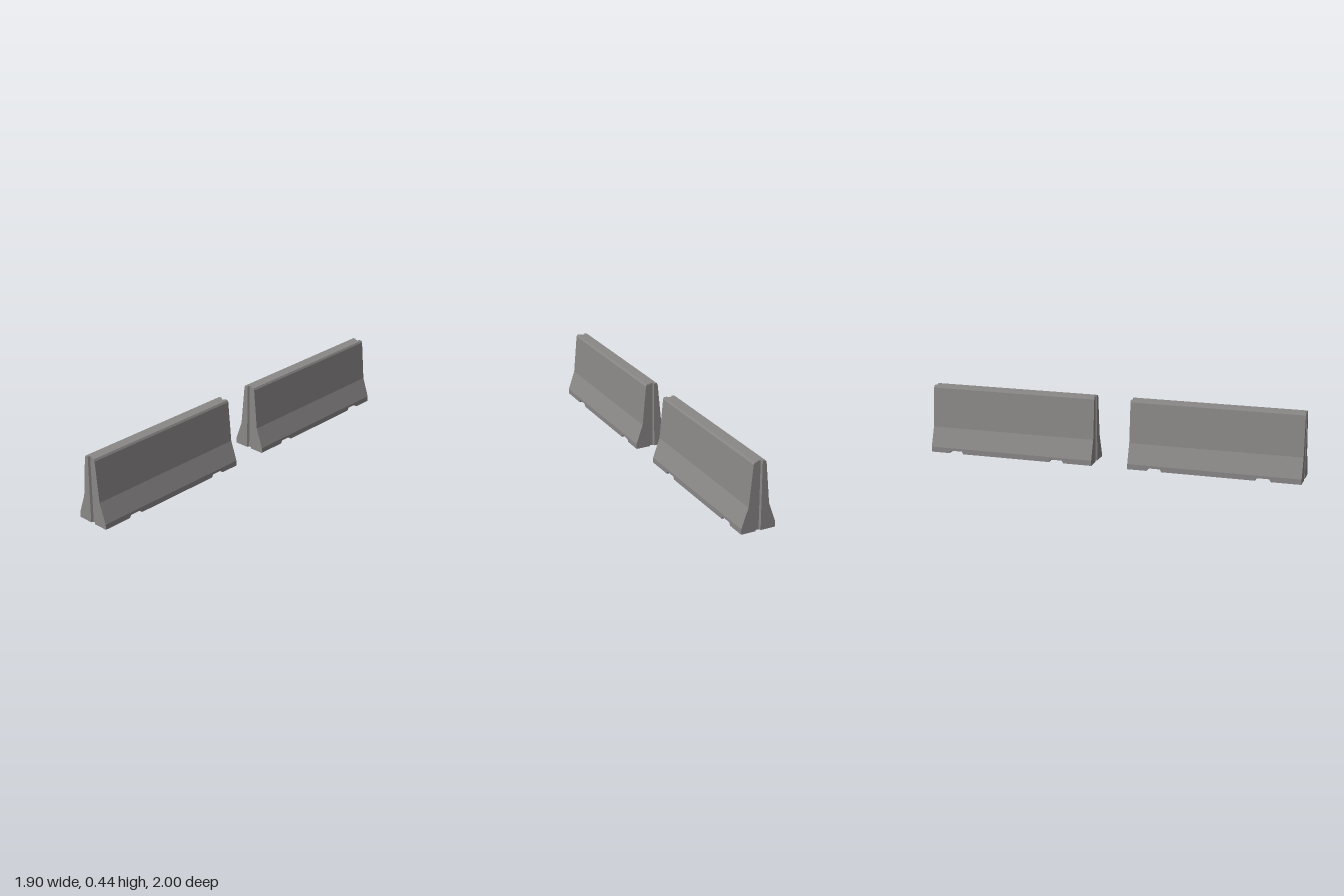
import * as THREE from 'three';

const HALF = 0.57;               // half the barrier length
const NOTCHES = [-0.325, 0.39];  // lifting notch centres along the length
const NOTCH_H = 0.018;
// [half width, height] from the base up
const PROFILE = [[0.115, 0], [0.115, 0.035], [0.069, 0.165], [0.043, 0.432], [0.036, 0.445]];

// Lengthwise stations as [x, base height]; the base rises over each notch
const STATIONS = [
  [-HALF, 0],
  ...NOTCHES.flatMap(c => [[c - 0.05, 0], [c - 0.04, NOTCH_H], [c + 0.04, NOTCH_H], [c + 0.05, 0]]),
  [HALF, 0],
];

// Closed plan outline at one height, with a keyed groove in each end
function ring([w, y]) {
  const v = (x, z, lift = 0) => new THREE.Vector3(x, y === 0 ? lift : y, z);
  const groove = [[0, 0.017], [0.014, 0.011], [0.014, -0.011], [0, -0.017]];
  return [
    ...STATIONS.map(([x, h]) => v(x, w, h)),
    ...groove.map(([d, z]) => v(HALF - d, z)),
    ...[...STATIONS].reverse().map(([x, h]) => v(x, -w, h)),
    ...groove.map(([d, z]) => v(-HALF + d, -z)),
  ];
}

function quadsToGeometry(quads) {
  const points = quads.flatMap(([a, b, c, d]) => [a, b, c, a, c, d]);
  const geo = new THREE.BufferGeometry().setFromPoints(points);
  geo.computeVertexNormals();
  return geo;
}

// Sides and ends, open underneath
function wallGeometry() {
  const rings = PROFILE.map(ring);
  const quads = [];
  for (let k = 0; k < rings.length - 1; k++) {
    const lo = rings[k], hi = rings[k + 1];
    lo.forEach((p, i) => {
      const j = (i + 1) % lo.length;
      quads.push([p, lo[j], hi[j], hi[i]]);
    });
  }
  return quadsToGeometry(quads);
}

function topGeometry() {
  const top = PROFILE[PROFILE.length - 1];
  const shape = new THREE.Shape(ring(top).map(p => new THREE.Vector2(p.x, -p.z)));
  return new THREE.ShapeGeometry(shape).rotateX(-Math.PI / 2).translate(0, top[1], 0);
}

// Ceiling and sloped sides of one notch, running across the base
function notchGeometry(c) {
  const w = PROFILE[0][0];
  const path = [[-0.05, 0], [-0.04, NOTCH_H], [0.04, NOTCH_H], [0.05, 0]];
  const quads = [];
  for (let i = 0; i < path.length - 1; i++) {
    const [a, b] = [path[i], path[i + 1]];
    const v = ([x, y], z) => new THREE.Vector3(c + x, y, z);
    quads.push([v(a, -w), v(b, -w), v(b, w), v(a, w)]);
  }
  return quadsToGeometry(quads);
}

export function createModel() {
  const concrete = new THREE.MeshStandardMaterial({ color: 0x8a8787, side: THREE.DoubleSide });
  concrete.name = 'concrete grey';

  const model = new THREE.Group();
  model.name = 'roadBarriers';
  const walls = wallGeometry(), top = topGeometry(), notches = NOTCHES.map(notchGeometry);

  // Two identical barriers in line, slightly offset
  for (const s of [1, -1]) {
    const barrier = new THREE.Group();
    barrier.name = s > 0 ? 'leftBarrier' : 'rightBarrier';
    const add = (geo, name) => {
      const mesh = new THREE.Mesh(geo, concrete);
      mesh.name = name;
      barrier.add(mesh);
    };
    add(walls, 'barrierWalls');
    add(top, 'barrierTop');
    notches.forEach(geo => add(geo, 'liftingNotch'));
    barrier.rotation.y = 0.816;
    barrier.position.set(0.475 * s, 0, -0.505 * s);
    model.add(barrier);
  }
  return model;
}
